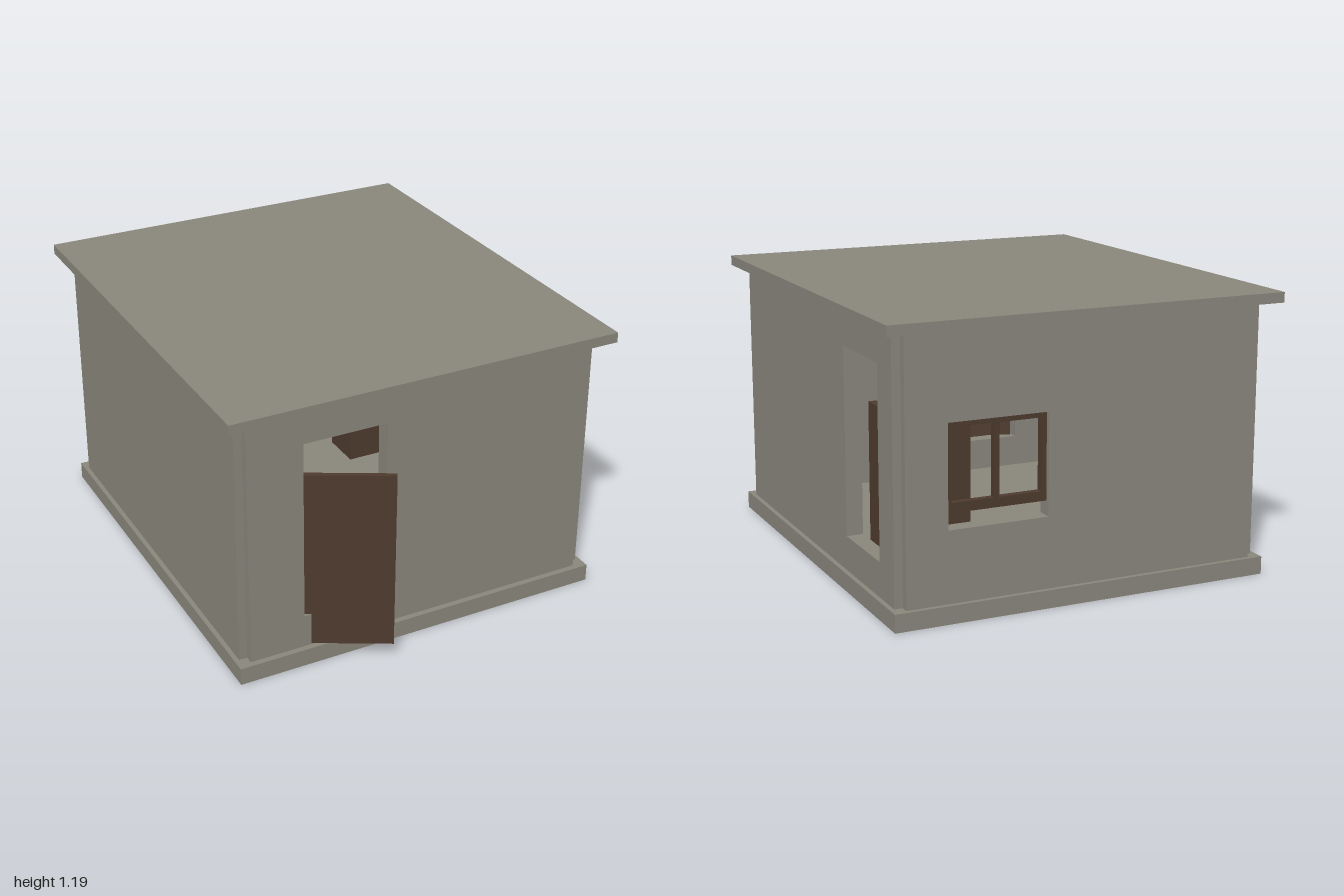
import * as THREE from 'three';

const concrete = new THREE.MeshStandardMaterial({ color: 0x88857b });
concrete.name = 'concrete grey';
const wood = new THREE.MeshStandardMaterial({ color: 0x4d3a2e });
wood.name = 'dark brown wood';

// Box given by its minimum and maximum corners
function box(name, material, [x0, y0, z0], [x1, y1, z1]) {
  const mesh = new THREE.Mesh(new THREE.BoxGeometry(x1 - x0, y1 - y0, z1 - z0), material);
  mesh.name = name;
  mesh.position.set((x0 + x1) / 2, (y0 + y1) / 2, (z0 + z1) / 2);
  return mesh;
}

function rectangle(path, u0, v0, u1, v1) {
  path.moveTo(u0, v0);
  path.lineTo(u1, v0);
  path.lineTo(u1, v1);
  path.lineTo(u0, v1);
  path.closePath();
  return path;
}

const THICK = 0.07, FLOOR = 0.075, CEILING = 1.147;

// Wall in the xy plane from u0 to u1, with an optional rectangular opening
function wall(name, u0, u1, opening) {
  const shape = rectangle(new THREE.Shape(), u0, FLOOR, u1, CEILING);
  if (opening) shape.holes.push(rectangle(new THREE.Path(), ...opening));
  const geometry = new THREE.ExtrudeGeometry(shape, { depth: THICK, bevelEnabled: false });
  geometry.translate(0, 0, -THICK / 2);
  const mesh = new THREE.Mesh(geometry, concrete);
  mesh.name = name;
  return mesh;
}

export function createModel() {
  const model = new THREE.Group();
  model.name = 'house';

  // Foundation and flat roof
  model.add(box('foundation', concrete, [-0.82, 0, -0.96], [0.82, FLOOR, 0.87]));
  model.add(box('roof', concrete, [-0.855, CEILING, -1], [0.855, 1.19, 0.9]));

  // Walls run between centre lines, leaving a small notch at each corner
  const front = wall('frontWall', -0.765, 0.765, [-0.527, 0.22, -0.163, 1.003]);
  front.position.z = 0.81;
  const back = wall('backWall', -0.765, 0.765, [0.165, 0.37, 0.59, 0.79]);
  back.position.z = -0.905;
  const right = wall('rightWall', -0.905, 0.81);
  right.rotation.y = -Math.PI / 2;
  right.position.x = -0.765;
  const left = wall('leftWall', -0.905, 0.81, [-0.76, 0.22, -0.4, 1.003]);
  left.rotation.y = -Math.PI / 2;
  left.position.x = 0.765;
  model.add(front, back, right, left);

  // Front door, standing ajar
  const door = new THREE.Group();
  door.name = 'frontDoor';
  door.add(box('doorPanel', wood, [0, 0.08, -0.02], [0.365, 0.86, 0]));
  door.position.set(-0.527, 0, 0.829);
  door.rotation.y = -THREE.MathUtils.degToRad(28);
  model.add(door);

  // Two-pane window frame
  const frame = new THREE.Group();
  frame.name = 'windowFrame';
  const z0 = -0.92, z1 = -0.89;
  for (const [y0, y1] of [[0.43, 0.47], [0.765, 0.79]])
    frame.add(box('windowRail', wood, [0.165, y0, z0], [0.59, y1, z1]));
  for (const x of [0.165, 0.366, 0.567])
    frame.add(box('windowStile', wood, [x, 0.47, z0], [x + 0.023, 0.765, z1]));
  model.add(frame);

  // Furniture inside
  model.add(box('cabinet', wood, [0.34, FLOOR, -0.595], [0.7, 0.77, -0.405]));
  model.add(box('bench', concrete, [-0.73, 0.27, -0.75], [-0.4, 0.31, -0.2]));

  return model;
}
